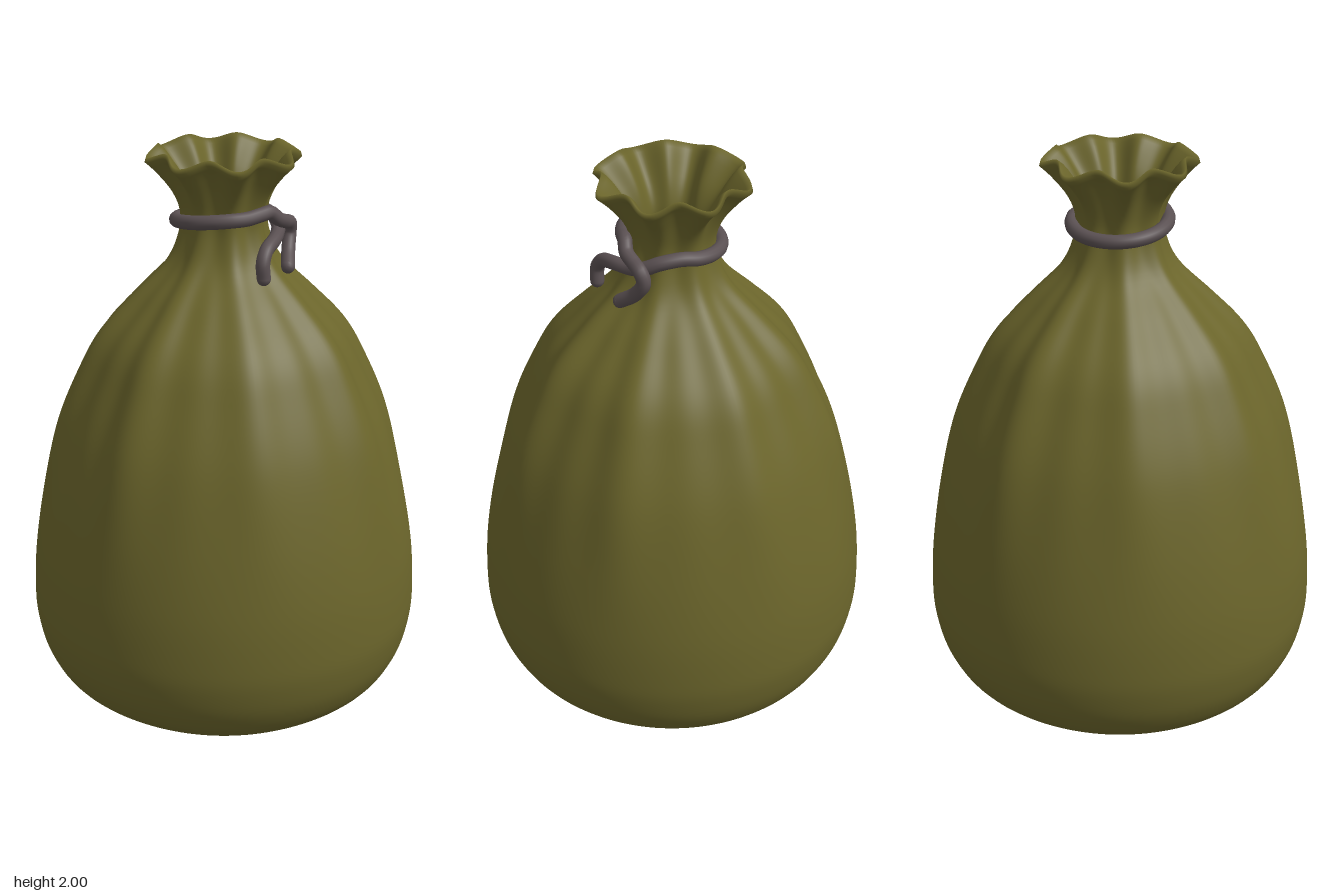
import * as THREE from 'three';
import { mergeVertices } from 'three/addons/utils/BufferGeometryUtils.js';

const smooth = THREE.MathUtils.smoothstep;

// Sack: a lathed profile with gathered folds, a ruffled rim and a lined mouth
function createSack(material) {
  const profile = new THREE.SplineCurve([
    [0, 0], [0.2, 0.018], [0.4, 0.078], [0.565, 0.182], [0.63, 0.275], [0.658, 0.38],
    [0.663, 0.48], [0.65, 0.65], [0.61, 0.87], [0.548, 1.1], [0.464, 1.29], [0.395, 1.41],
    [0.285, 1.53], [0.188, 1.63], [0.147, 1.71], [0.135, 1.79], [0.158, 1.87],
    [0.203, 1.94], [0.238, 1.976], [0.238, 1.986], [0.225, 1.985],
    [0.185, 1.94], [0.14, 1.87], [0.117, 1.79], [0.128, 1.71],
  ].map(([r, y]) => new THREE.Vector2(r, y)));

  let geometry = new THREE.LatheGeometry(profile.getSpacedPoints(130), 192);
  const pos = geometry.attributes.position;
  for (let i = 0; i < pos.count; i++) {
    const x = pos.getX(i), y = pos.getY(i), z = pos.getZ(i);
    const r = Math.hypot(x, z);
    if (r < 1e-4) continue;
    const a = Math.atan2(z, x);
    const ruffle = Math.cos(8 * a);
    // Eight narrow ridges that fade out down the body and into the neck
    const body = smooth(y, 0.6, 1.3) * (1 - smooth(y, 1.45, 1.72));
    const depth = 1 + 0.25 * Math.sin(3 * a + 1);
    const fold = depth * (0.006 * Math.cos(16 * a) - 0.012 * ruffle);
    const neck = smooth(y, 1.5, 1.72) * 0.007;
    const rim = smooth(y, 1.8, 1.98);
    const k = (r + body * fold - (neck + rim * 0.01) * ruffle) / r;
    pos.setXYZ(i, x * k, y + rim * 0.013 * ruffle, z * k);
  }
  // Weld the seam so the shading is continuous
  geometry.deleteAttribute('normal');
  geometry.deleteAttribute('uv');
  geometry = mergeVertices(geometry, 1e-5);
  geometry.computeVertexNormals();
  const sack = new THREE.Mesh(geometry, material);
  sack.name = 'sack';
  return sack;
}

// Rope: one cord from the front tail, round the back of the neck,
// over itself at the knot and down into the side tail
function createRope(material) {
  const radius = 0.023;
  const points = [
    [0.163, 1.628, 0.172], [0.16, 1.675, 0.172], [0.165, 1.71, 0.145], [0.178, 1.728, 0.08],
    [0.177, 1.732, 0.02], [0.172, 1.745, -0.03], [0.148, 1.768, -0.075],
  ];
  for (let deg = -50; deg >= -310; deg -= 20) {
    const a = THREE.MathUtils.degToRad(deg), c = Math.cos(a), s = Math.sin(a);
    points.push([0.154 * c, 1.779 + 0.016 * (c + s), 0.154 * s]);
  }
  points.push(
    [0.135, 1.808, 0.085], [0.16, 1.81, 0.055], [0.182, 1.785, 0.03], [0.195, 1.768, -0.01],
    [0.207, 1.755, -0.045], [0.205, 1.72, -0.058], [0.207, 1.67, -0.025], [0.216, 1.63, 0.03],
  );
  const path = points.map((p) => new THREE.Vector3(...p));

  const rope = new THREE.Group();
  rope.name = 'rope';
  const cord = new THREE.Mesh(
    new THREE.TubeGeometry(new THREE.CatmullRomCurve3(path), 220, radius, 12), material);
  cord.name = 'cord';
  rope.add(cord);
  // Rounded rope ends
  for (const p of [path[0], path[path.length - 1]]) {
    const end = new THREE.Mesh(new THREE.SphereGeometry(radius, 12, 8), material);
    end.name = 'cordEnd';
    end.position.copy(p);
    rope.add(end);
  }
  return rope;
}

export function createModel() {
  const model = new THREE.Group();
  model.name = 'tiedSack';
  model.add(createSack(new THREE.MeshStandardMaterial({ color: 0x6b652b, side: THREE.DoubleSide })));
  model.add(createRope(new THREE.MeshStandardMaterial({ color: 0x5a5052 })));
  return model;
}
